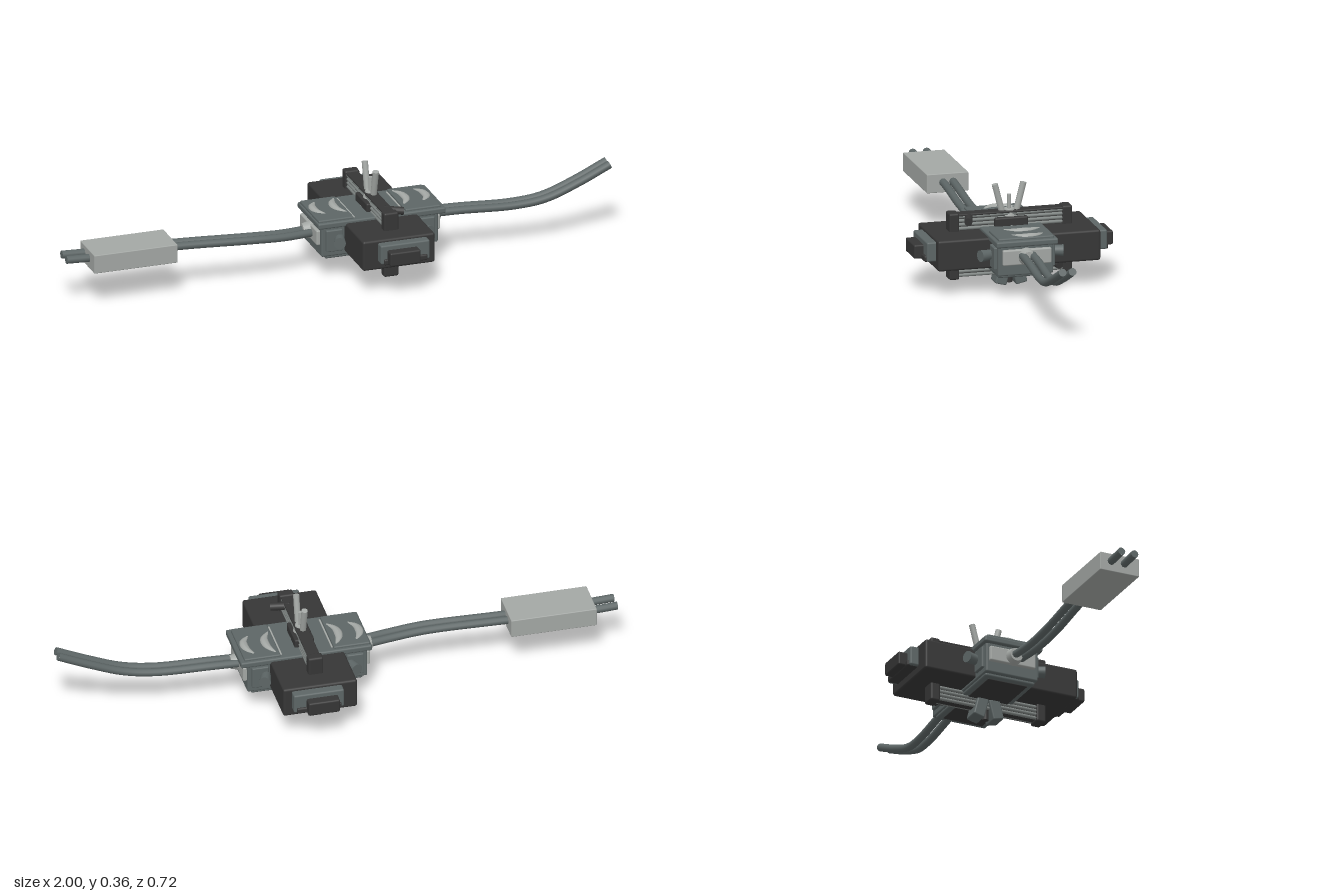
import * as THREE from 'three';
import { RoundedBoxGeometry } from 'three/addons/geometries/RoundedBoxGeometry.js';

const mat = (name, color) => Object.assign(new THREE.MeshStandardMaterial({ color }), { name });

export function createModel() {
  const dark = mat('charcoal', 0x363636);
  const gray = mat('slate gray', 0x5d6666);
  const light = mat('pale gray', 0xa3a7a4);
  const steel = mat('steel gray', 0x7c8280);
  const CX = 0.13; // centre of the machine along x
  const root = new THREE.Group();
  root.name = 'machine';

  const add = (name, geo, m, parent = root) => {
    const mesh = new THREE.Mesh(geo, m);
    mesh.name = name;
    parent.add(mesh);
    return mesh;
  };
  // box given by its lower and upper limits
  const box = (name, m, [x0, x1], [y0, y1], [z0, z1], r = 0.006, parent = root) => {
    const mesh = add(name, new RoundedBoxGeometry(x1 - x0, y1 - y0, z1 - z0, 2, r), m, parent);
    mesh.position.set((x0 + x1) / 2, (y0 + y1) / 2, (z0 + z1) / 2);
    return mesh;
  };
  // cylinder between two points
  const rod = (name, m, a, b, r0, r1 = r0, parent = root) => {
    const p = new THREE.Vector3(...a), q = new THREE.Vector3(...b);
    const d = q.clone().sub(p);
    const mesh = add(name, new THREE.CylinderGeometry(r1, r0, d.length(), 16), m, parent);
    mesh.position.copy(p).add(q).multiplyScalar(0.5);
    mesh.quaternion.setFromUnitVectors(new THREE.Vector3(0, 1, 0), d.normalize());
    return mesh;
  };
  // smooth tube with closed ends
  const hose = (name, m, pts, r, seg = 48) => {
    const g = new THREE.Group();
    g.name = name;
    root.add(g);
    const curve = new THREE.CatmullRomCurve3(pts.map(p => new THREE.Vector3(...p)));
    add(name + 'Tube', new THREE.TubeGeometry(curve, seg, r, 12), m, g);
    for (const [t, s] of [[0, -1], [1, 1]]) {
      const cap = add(name + 'End', new THREE.CircleGeometry(r, 12), m, g);
      cap.position.copy(curve.getPoint(t));
      cap.quaternion.setFromUnitVectors(new THREE.Vector3(0, 0, 1), curve.getTangent(t).multiplyScalar(s));
    }
  };

  // long cross housing with stepped ends
  box('crossHousing', dark, [0, 0.265], [0.1, 0.21], [-0.293, 0.293], 0.008);
  for (const s of [-1, 1]) {
    const span = (a, b) => (s > 0 ? [a, b] : [-b, -a]);
    box('endCollar', gray, [0.055, 0.235], [0.13, 0.2], span(0.285, 0.325));
    box('endCollarBase', dark, [0.065, 0.225], [0.128, 0.15], span(0.285, 0.332));
    box('endPlug', dark, [0.078, 0.19], [0.132, 0.182], span(0.29, 0.359));
  }

  // central body with top plate and lower brim
  box('coreBody', gray, [-0.085, 0.345], [0.09, 0.205], [-0.1, 0.1]);
  box('lowerBrim', gray, [-0.07, 0.33], [0.08, 0.1], [-0.095, 0.095]);
  box('bottomPanel', dark, [-0.05, 0.31], [0.077, 0.083], [-0.075, 0.075], 0.002);
  box('topPlate', gray, [-0.1, 0.37], [0.198, 0.22], [-0.111, 0.111]);

  // parts repeated on both ends of the body
  for (const s of [-1, 1]) {
    const xs = (a, b) => (s > 0 ? [CX + a, CX + b] : [CX - b, CX - a]);
    box('topPad', gray, xs(0.095, 0.225), [0.212, 0.228], [-0.1, 0.1], 0.005);
    box('padTrim', light, xs(0.088, 0.094), [0.215, 0.223], [-0.09, 0.09], 0.002);
    box('endPanel', light, xs(0.2, 0.228), [0.13, 0.185], [-0.09, 0.085], 0.005);
    rod('cableSocket', light, [CX + s * 0.22, 0.158, 0], [CX + s * 0.252, 0.158, 0], 0.032, 0.024);
    // curved claws lying on the pads
    for (const [x, len] of [[0.12, 0.07], [0.195, 0.06]]) {
      const pts = [[-0.012, -len], [0.008, -len * 0.4], [0.008, len * 0.3], [-0.015, len * 0.85]];
      const curve = new THREE.CatmullRomCurve3(pts.map(([px, z]) => new THREE.Vector3(s * px, 0, z - 0.01)));
      const claw = add('claw', new THREE.TubeGeometry(curve, 20, 0.015, 10), light);
      // taper both ends and flatten
      const pos = claw.geometry.attributes.position;
      for (let i = 0; i < pos.count; i++) {
        const t = Math.floor(i / 11) / 20;
        const c = curve.getPointAt(t);
        const k = 0.2 + 0.8 * Math.sin(Math.PI * t);
        pos.setXYZ(i, c.x + (pos.getX(i) - c.x) * k, pos.getY(i) * k * 0.6, c.z + (pos.getZ(i) - c.z) * k);
      }
      claw.geometry.computeVertexNormals();
      claw.position.set(CX + s * x, 0.227, 0);
    }
    // angled side nozzles
    for (const z of [-1, 1]) {
      rod('sideNozzle', gray, [CX + s * 0.145, 0.155, z * 0.09], [CX + s * 0.165, 0.155, z * 0.15], 0.016, 0.021);
      box('sideFoot', gray, xs(0.14, 0.2), [0.11, 0.19], z > 0 ? [0.095, 0.11] : [-0.11, -0.095], 0.004);
    }
  }

  // ribbed radiator standing across the middle
  box('radiatorCore', dark, [0.115, 0.145], [0.045, 0.268], [-0.19, 0.19], 0.004);
  for (let i = 0; i < 16; i++) {
    const y = 0.05 + i * 0.014;
    for (const x of [0.114, 0.146]) rod('radiatorRib', steel, [x, y, -0.187], [x, y, 0.187], 0.006);
  }
  box('radiatorTop', dark, [0.108, 0.152], [0.262, 0.27], [-0.19, 0.19], 0.003);
  box('radiatorSaddle', dark, [0.095, 0.165], [0.215, 0.25], [-0.06, 0.06]);
  for (const s of [-1, 1]) {
    box('radiatorCap', dark, [0.103, 0.157], [0.036, 0.275], s > 0 ? [0.186, 0.222] : [-0.222, -0.186], 0.007);
    const y = s > 0 ? 0.255 : 0.077;
    rod('capStub', dark, [0.13, y + 0.003, s * 0.145], [0.195, y - 0.003, s * 0.165], 0.014);
  }

  // crossed levers with weighted lower ends
  for (const s of [-1, 1]) {
    const lever = new THREE.Group();
    lever.name = 'lever';
    lever.position.set(CX, 0.16, 0);
    lever.rotation.x = s * 0.25;
    root.add(lever);
    rod('leverRod', light, [s * 0.002, -0.1, 0], [s * 0.002, 0.211, 0], 0.011, 0.011, lever);
    box('leverWeight', gray, [-0.032, 0.032], [-0.155, -0.08], [-0.021, 0.021], 0.005, lever);
  }
  rod('centrePin', light, [CX, 0.2, 0], [CX, 0.325, 0], 0.007);
  rod('pinBase', light, [CX, 0.22, 0], [CX, 0.275, 0], 0.036, 0.018);
  rod('lowerPin', dark, [CX, 0.01, 0], [CX, 0.09, 0], 0.012);

  // paired cables, one pair on each end
  for (const d of [-0.018, 0.018]) {
    hose('rightCable', gray, [[-1, 0.18, 0.005 + d * 1.4], [-0.9, 0.176, 0.005 + d * 1.4], [-0.6, 0.175, 0.012 + d],
      [-0.32, 0.167, 0.03 + d], [-0.2, 0.16, 0.025 + d], [-0.06, 0.157, 0.005 + d]], 0.014);
    hose('leftCable', gray, [[0.33, 0.163, -0.004 + d], [0.45, 0.163, 0.002 + d], [0.65, 0.16, 0.018 + d],
      [0.76, 0.175, 0.028 + d], [0.88, 0.22, 0.032 + d], [0.994, 0.272, 0.032 + d]], 0.014);
  }
  // sleeve block on the long cable
  box('cableBlock', light, [-0.917, -0.61], [0.138, 0.206], [-0.062, 0.088], 0.003);
  return root;
}
